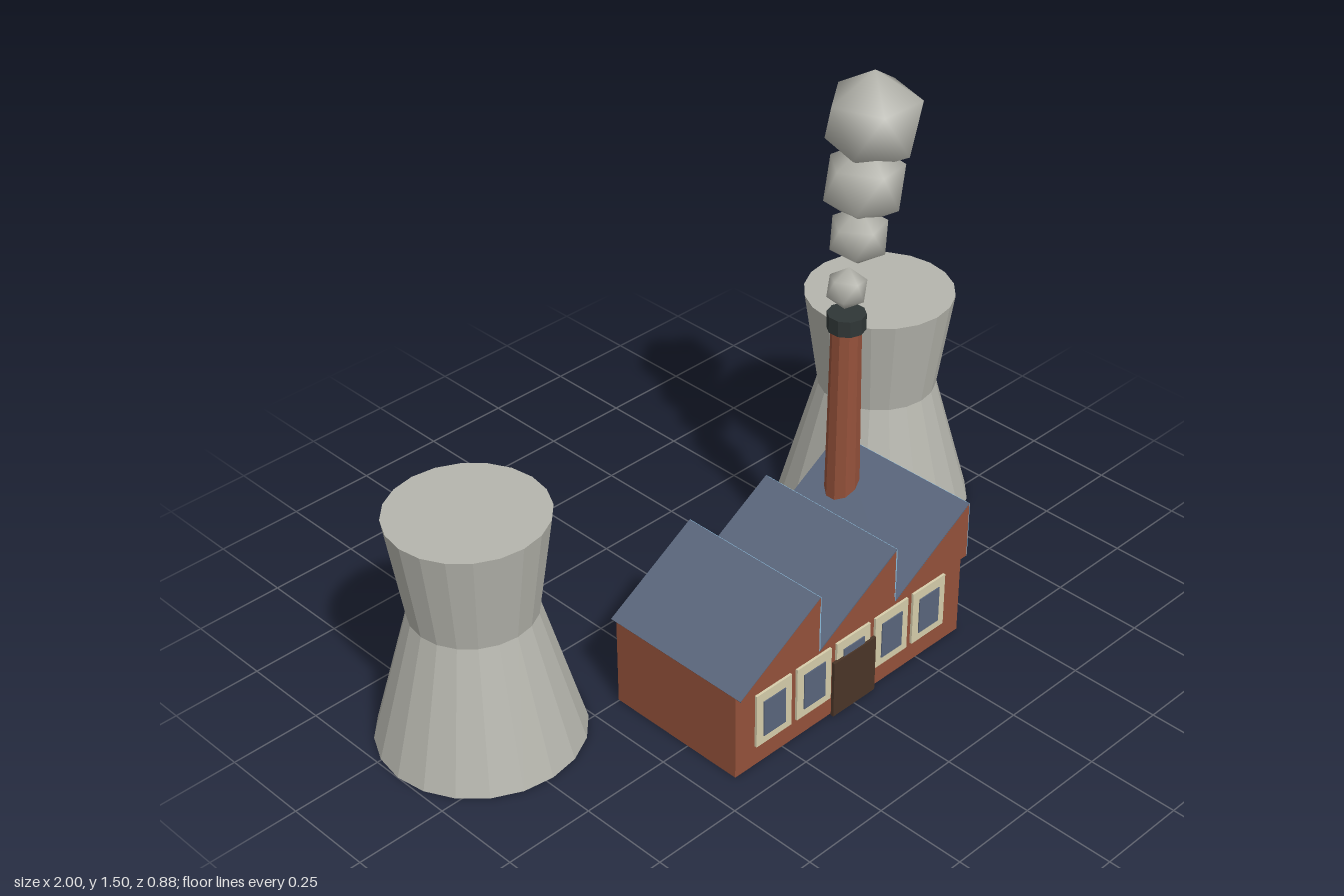
import * as THREE from 'three';
import { mergeVertices } from 'three/addons/utils/BufferGeometryUtils.js';

const mat = (name, color) => {
  const m = new THREE.MeshStandardMaterial({ color });
  m.name = name;
  return m;
};

export function createModel() {
  const concrete = mat('concrete grey', 0xb5b5ad);
  const brick = mat('brick', 0x94513a);
  const slate = mat('slate blue', 0x5a667c);
  const glass = mat('skylight blue', 0x8abddd);
  const cream = mat('frame cream', 0xd6cdab);
  const doorBrown = mat('door brown', 0x4a3527);
  const soot = mat('soot black', 0x2f3636);

  const model = new THREE.Group();
  model.name = 'factory';
  const add = (name, geometry, material, x, y, z, parent = model) => {
    const mesh = new THREE.Mesh(geometry, material);
    mesh.name = name;
    mesh.position.set(x, y, z);
    parent.add(mesh);
    return mesh;
  };
  // Faceted tube or cone standing on y = 0
  const faceted = (top, bottom, height, sides, open = false) =>
    new THREE.CylinderGeometry(top, bottom, height, sides, 1, open)
      .translate(0, height / 2, 0).toNonIndexed();
  const flat = (g) => { g.computeVertexNormals(); return g; };

  // Cooling towers: wide foot, narrow waist, flared top
  for (const side of [-1, 1]) {
    const tower = new THREE.Group();
    tower.name = side < 0 ? 'rightCoolingTower' : 'leftCoolingTower';
    tower.position.set(side * 0.73, 0, -0.17);
    add('towerBase', flat(faceted(0.165, 0.27, 0.38, 20)), concrete, 0, 0, 0, tower);
    add('towerTop', flat(faceted(0.207, 0.165, 0.285, 20)), concrete, 0, 0.38, 0, tower);
    model.add(tower);
  }

  // Factory hall
  const hallZ = 0.207, half = 0.415, wallFront = 0.417;
  add('hall', new THREE.BoxGeometry(2 * half, 0.25, 0.42), brick, 0, 0.125, hallZ);

  // Sawtooth roof: brick wedges with slate slopes and glazed vertical faces
  const w = (2 * half) / 3, h = 0.165, depth = 0.456;
  const wedge = new THREE.Shape([
    new THREE.Vector2(0, 0), new THREE.Vector2(w, 0), new THREE.Vector2(w, h),
  ]);
  const slope = Math.hypot(w, h);
  for (let i = 0; i < 3; i++) {
    const x = -half + i * w;
    const body = new THREE.ExtrudeGeometry(wedge, { depth, bevelEnabled: false });
    add('roofTooth', body, brick, x, 0.25, hallZ - depth / 2);
    const panel = add('roofSlope', new THREE.BoxGeometry(slope, 0.004, depth), slate,
      x + w / 2, 0.25 + h / 2, hallZ);
    panel.rotation.z = Math.atan2(h, w);
    add('skylight', new THREE.BoxGeometry(0.004, h, depth), glass, x + w, 0.25 + h / 2, hallZ);
  }

  // Row of framed windows and the door
  for (let i = -2; i <= 2; i++) {
    add('windowFrame', new THREE.BoxGeometry(0.123, 0.16, 0.008), cream, i * 0.143, 0.14, wallFront + 0.003);
    add('windowPane', new THREE.BoxGeometry(0.076, 0.108, 0.008), slate, i * 0.143, 0.138, wallFront + 0.006);
  }
  add('door', new THREE.BoxGeometry(0.154, 0.17, 0.009), doorBrown, 0, 0.085, wallFront + 0.009);

  // Chimney with a sooty rim
  add('chimney', flat(faceted(0.04, 0.048, 0.59, 10)), brick, 0.315, 0.25, 0.085);
  add('chimneyRim', flat(faceted(0.051, 0.051, 0.045, 10)), soot, 0.315, 0.835, 0.085);

  // Smoke puffs: softly shaded icosahedra standing on a corner
  const puffGeometry = () => {
    let g = new THREE.IcosahedronGeometry(1, 0);
    g.deleteAttribute('normal');
    g.deleteAttribute('uv');
    g = mergeVertices(g, 1e-3);
    g.rotateZ(-Math.atan(2 / (1 + Math.sqrt(5))));
    g.rotateY(Math.PI / 2);
    g.computeVertexNormals();
    return g;
  };
  const puffs = [
    // x, y, z, radius, turn about y, tilt about z
    [0.315, 0.95, 0.083, 0.056, 0.3, -0.2],
    [0.357, 1.085, 0.08, 0.082, 0.3, 0],
    [0.395, 1.21, 0.06, 0.112, 0.25, -0.1],
    [0.442, 1.36, 0.042, 0.135, 0, 0],
  ];
  for (const [x, y, z, r, turn, tilt] of puffs) {
    const puff = add('smokePuff', puffGeometry(), concrete, x, y, z);
    puff.scale.setScalar(r);
    puff.rotation.set(0, turn, tilt);
  }
  return model;
}
